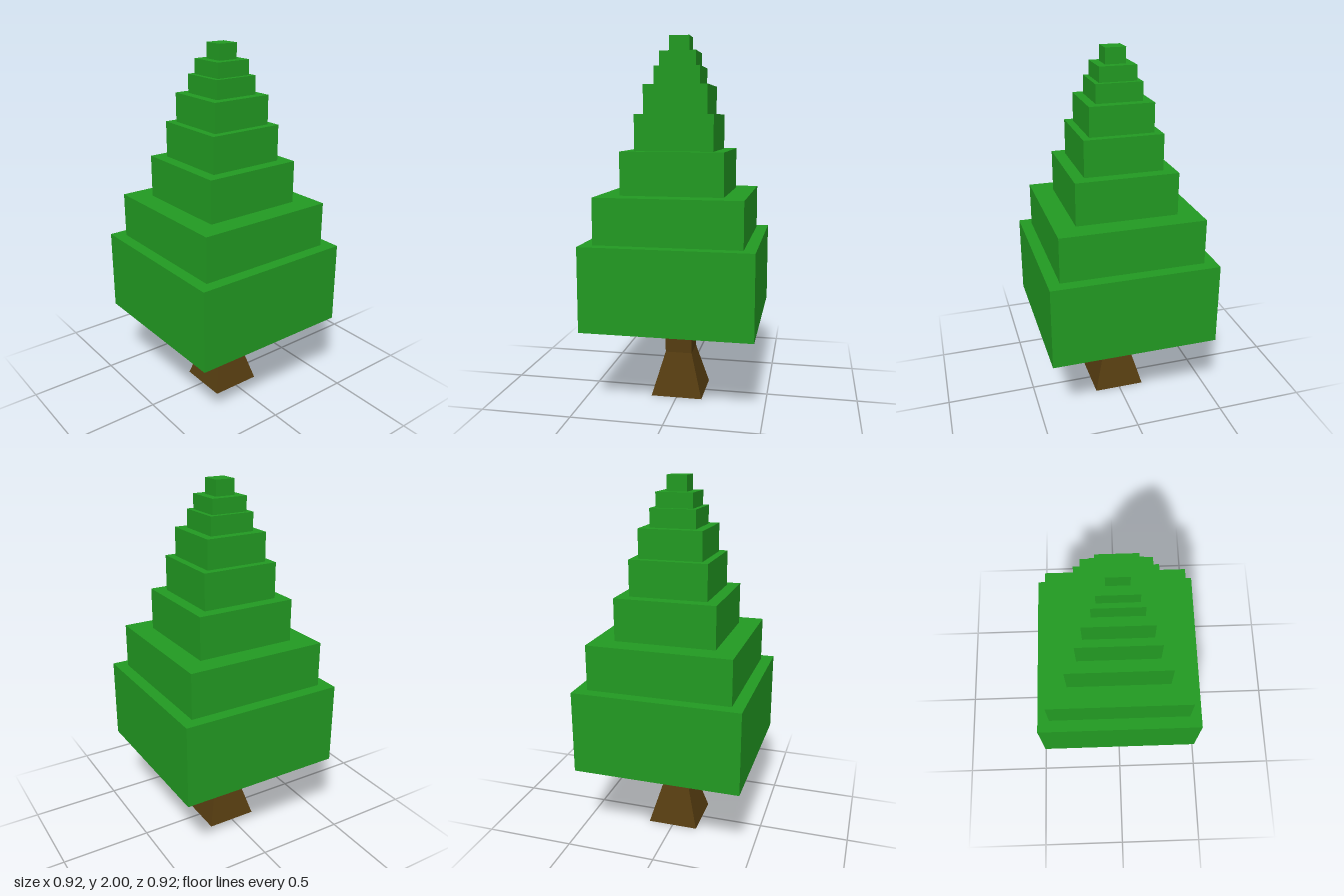
import * as THREE from 'three';

const leafMaterial = new THREE.MeshStandardMaterial({ color: 0x229a22 });
leafMaterial.name = 'leafGreen';
const barkMaterial = new THREE.MeshStandardMaterial({ color: 0x553c10, side: THREE.DoubleSide, flatShading: true });
barkMaterial.name = 'barkBrown';

// Open four-sided tube with the given half widths, sides parallel to the axes
function squareTube(name, topHalf, bottomHalf, y0, y1) {
  const geometry = new THREE.CylinderGeometry(
    topHalf * Math.SQRT2, bottomHalf * Math.SQRT2, y1 - y0, 4, 1, true);
  geometry.rotateY(Math.PI / 4);
  const mesh = new THREE.Mesh(geometry, barkMaterial);
  mesh.name = name;
  mesh.position.y = (y0 + y1) / 2;
  return mesh;
}

export function createModel() {
  const tree = new THREE.Group();
  tree.name = 'steppedTree';

  // Trunk: straight upper stem on a flared base, open underneath
  const trunk = new THREE.Group();
  trunk.name = 'trunk';
  trunk.add(squareTube('trunkStem', 0.075, 0.075, 0.24, 0.45));
  trunk.add(squareTube('trunkFlare', 0.075, 0.143, 0, 0.24));
  tree.add(trunk);

  // Foliage: stacked square tiers, [half width, top height]
  const tiers = [
    [0.459, 0.906], [0.394, 1.155], [0.277, 1.387], [0.213, 1.582],
    [0.173, 1.738], [0.125, 1.837], [0.1, 1.917], [0.055, 2],
  ];
  const foliage = new THREE.Group();
  foliage.name = 'foliage';
  let base = 0.45;
  tiers.forEach(([half, top], i) => {
    const tier = new THREE.Mesh(new THREE.BoxGeometry(half * 2, top - base, half * 2), leafMaterial);
    tier.name = `foliageTier${i + 1}`;
    tier.position.y = (base + top) / 2;
    foliage.add(tier);
    base = top;
  });
  tree.add(foliage);
  return tree;
}
